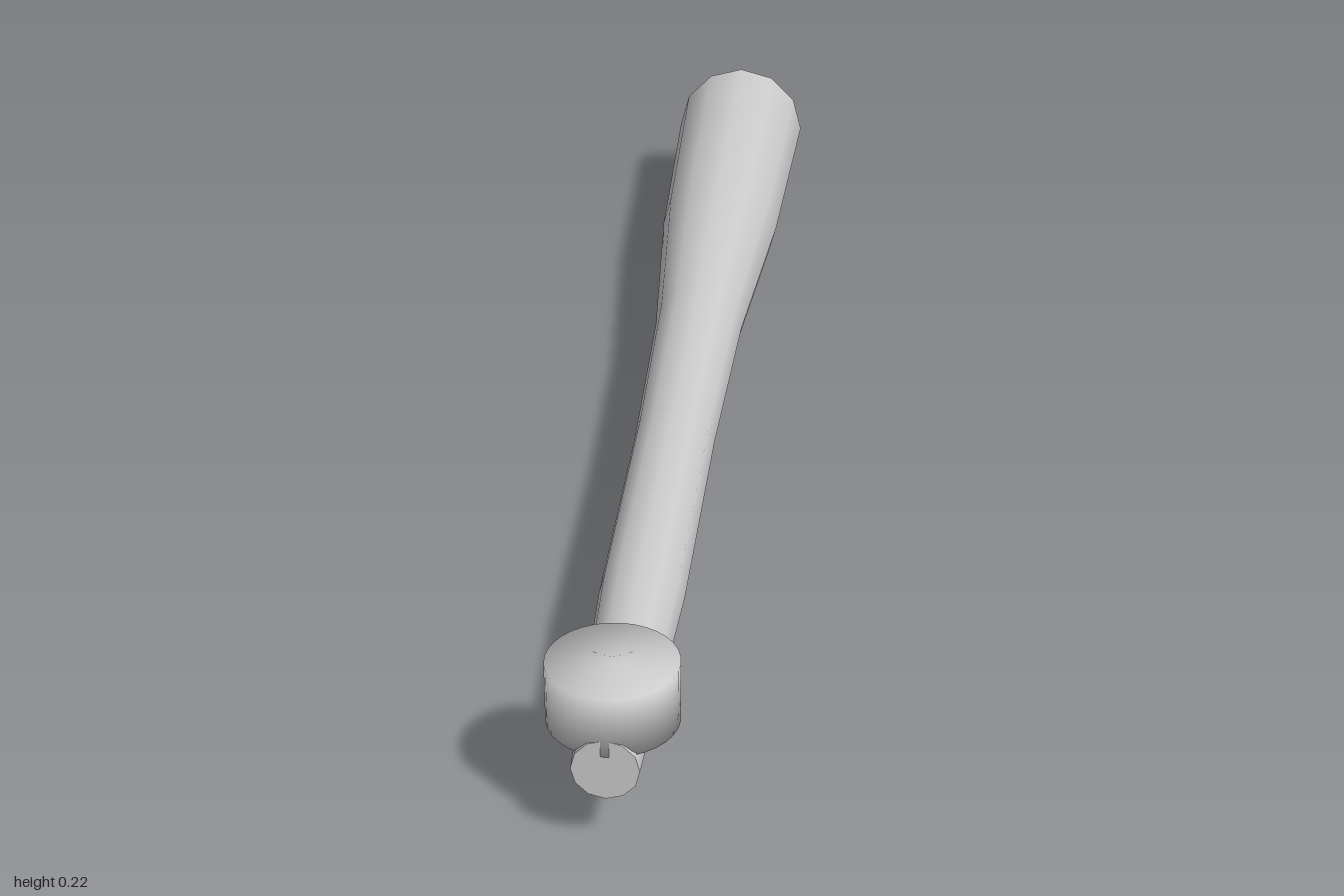
import * as THREE from 'three';

const material = new THREE.MeshStandardMaterial({ color: 0xcccccc });

function addMesh(parent, name, geometry) {
  const mesh = new THREE.Mesh(geometry, material);
  mesh.name = name;
  parent.add(mesh);
  return mesh;
}

const profile = (points) => points.map(([r, h]) => new THREE.Vector2(r, h));

export function createModel() {
  const model = new THREE.Group();
  model.name = 'taperedBarrel';

  const sides = 12;
  const axisY = 0.112;
  const backRadius = 0.112, tipRadius = 0.04;
  const backZ = -1, tipZ = 0.9995;

  // Twelve-sided barrel, wide at the back and narrowing to the tip
  const barrel = new THREE.Group();
  barrel.name = 'barrel';
  barrel.position.y = axisY;
  model.add(barrel);

  const shaft = new THREE.LatheGeometry(profile([
    [backRadius, backZ], [0.096, -0.54], [0.067, -0.15],
    [0.057, 0.22], [0.055, 0.63], [tipRadius, tipZ],
  ]), sides);
  shaft.rotateX(Math.PI / 2);
  addMesh(barrel, 'shaft', shaft);

  // Flat end faces
  const tip = addMesh(barrel, 'tipFace', new THREE.CircleGeometry(tipRadius, sides));
  tip.position.z = tipZ;
  const back = addMesh(barrel, 'backFace', new THREE.CircleGeometry(backRadius, sides));
  back.position.z = backZ;
  back.rotation.y = Math.PI;

  // Round knob set into the top of the tip, with softly blended normals
  const r = 0.079;
  const knob = addMesh(model, 'knob', new THREE.LatheGeometry(profile([
    [0, 0.13], [r, 0.13], [r, 0.208], [0, 0.208],
  ]), 32));
  knob.position.z = 1 - r;

  return model;
}
